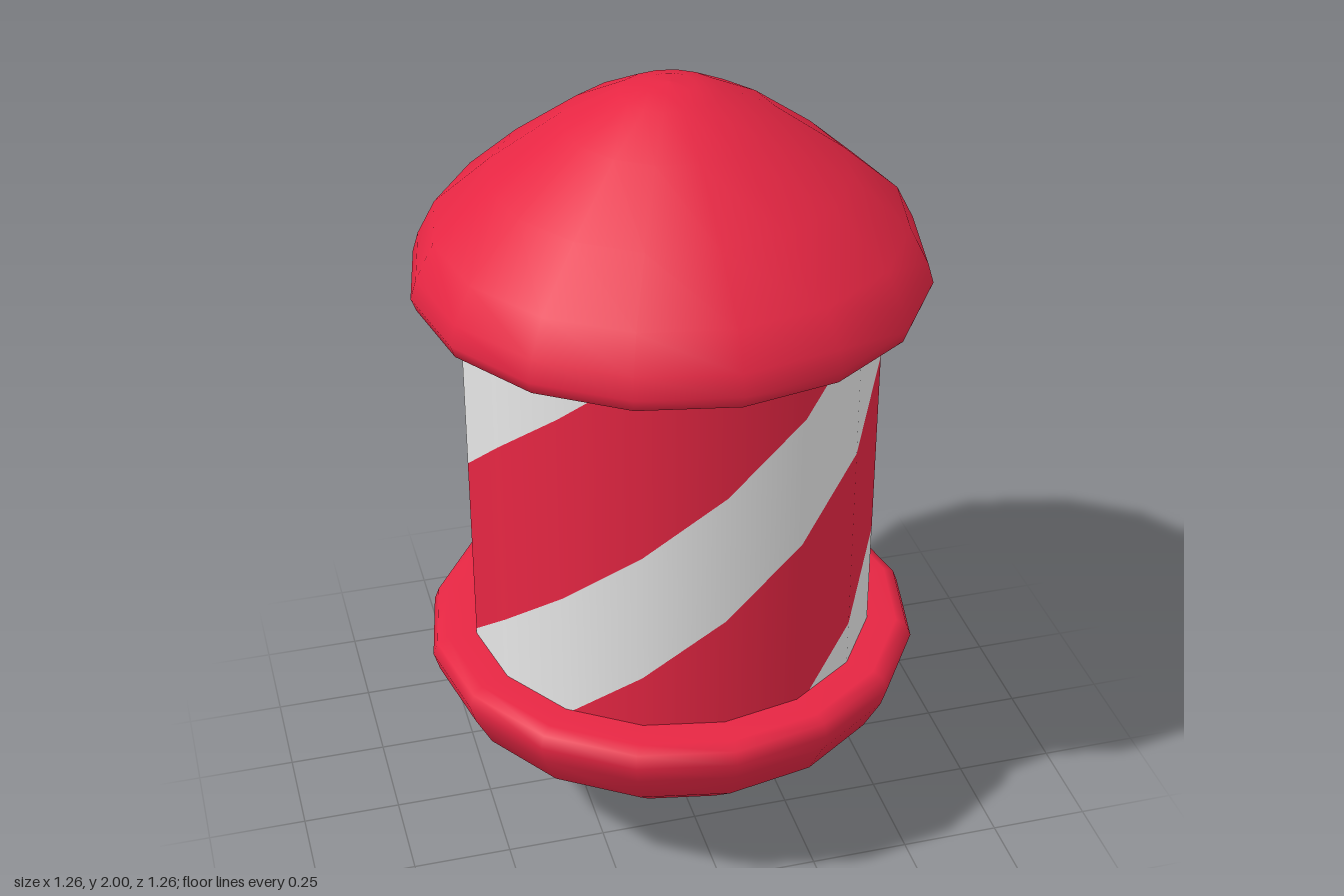
import * as THREE from 'three';

const SIDES = 16, RADIUS = 0.515, LOW = 0.52, HIGH = 1.485;
const RISE = 0.16;               // height gained by a stripe across one panel
const PITCH = RISE * SIDES / 3;  // three stripes wind round the post
const STRIPE = 0.35;             // vertical height of a white stripe

const red = new THREE.MeshStandardMaterial({ color: 0xe62643 });
red.name = 'red';
const white = new THREE.MeshStandardMaterial({ color: 0xe6e6e6 });
white.name = 'white';

// Cut a polygon of [u, y] points, keeping the side where sign * (y - limit) >= 0
function clip(poly, limit, sign) {
  const out = [];
  poly.forEach((a, i) => {
    const b = poly[(i + 1) % poly.length];
    const da = sign * (a[1] - limit), db = sign * (b[1] - limit);
    if (da >= 0) out.push(a);
    if (da * db < 0) {
      const t = da / (da - db);
      out.push([a[0] + t * (b[0] - a[0]), a[1] + t * (b[1] - a[1])]);
    }
  });
  return out;
}

// Slanting bands on the flat panels of the post, with rounded normals
function spiralBands(start, height) {
  const pos = [], nor = [];
  for (let k = 0; k < SIDES; k++) {
    const a0 = k / SIDES * Math.PI * 2, a1 = (k + 1) / SIDES * Math.PI * 2;
    const put = ([u, y]) => {
      const x = Math.sin(a0) * (1 - u) + Math.sin(a1) * u;
      const z = Math.cos(a0) * (1 - u) + Math.cos(a1) * u;
      const l = Math.hypot(x, z);
      pos.push(x * RADIUS, y, z * RADIUS);
      nor.push(x / l, 0, z / l);
    };
    for (let j = -4; j <= 2; j++) {
      const y = start + k * RISE + j * PITCH;
      let poly = [[0, y], [1, y + RISE], [1, y + RISE + height], [0, y + height]];
      poly = clip(clip(poly, LOW, 1), HIGH, -1);
      for (let i = 1; i + 1 < poly.length; i++) [poly[0], poly[i], poly[i + 1]].forEach(put);
    }
  }
  const geo = new THREE.BufferGeometry();
  geo.setAttribute('position', new THREE.Float32BufferAttribute(pos, 3));
  geo.setAttribute('normal', new THREE.Float32BufferAttribute(nor, 3));
  return geo;
}

function part(name, geo, mat) {
  const mesh = new THREE.Mesh(geo, mat);
  mesh.name = name;
  return mesh;
}

export function createModel() {
  const model = new THREE.Group();
  model.name = 'stripedPost';

  // Striped post
  model.add(part('whiteStripes', spiralBands(0.83, STRIPE), white));
  model.add(part('redStripes', spiralBands(0.83 + STRIPE, PITCH - STRIPE), red));

  // Domed cap with a rounded rim and flat underside
  const profile = [
    [0, 1.475], [0.5, 1.475], [0.59, 1.475], [0.618, 1.488], [0.63, 1.52], [0.615, 1.57],
    [0.57, 1.657], [0.43, 1.78], [0.255, 1.908], [0.12, 1.977], [0.06, 1.994], [0, 2],
  ].map(([x, y]) => new THREE.Vector2(x, y));
  const capGeo = new THREE.LatheGeometry(profile, SIDES);
  model.add(part('topCap', capGeo, red));

  // The same cap turned over forms the base
  const base = part('bottomCap', capGeo, red);
  base.rotation.x = Math.PI;
  base.position.y = 2;
  model.add(base);

  return model;
}
